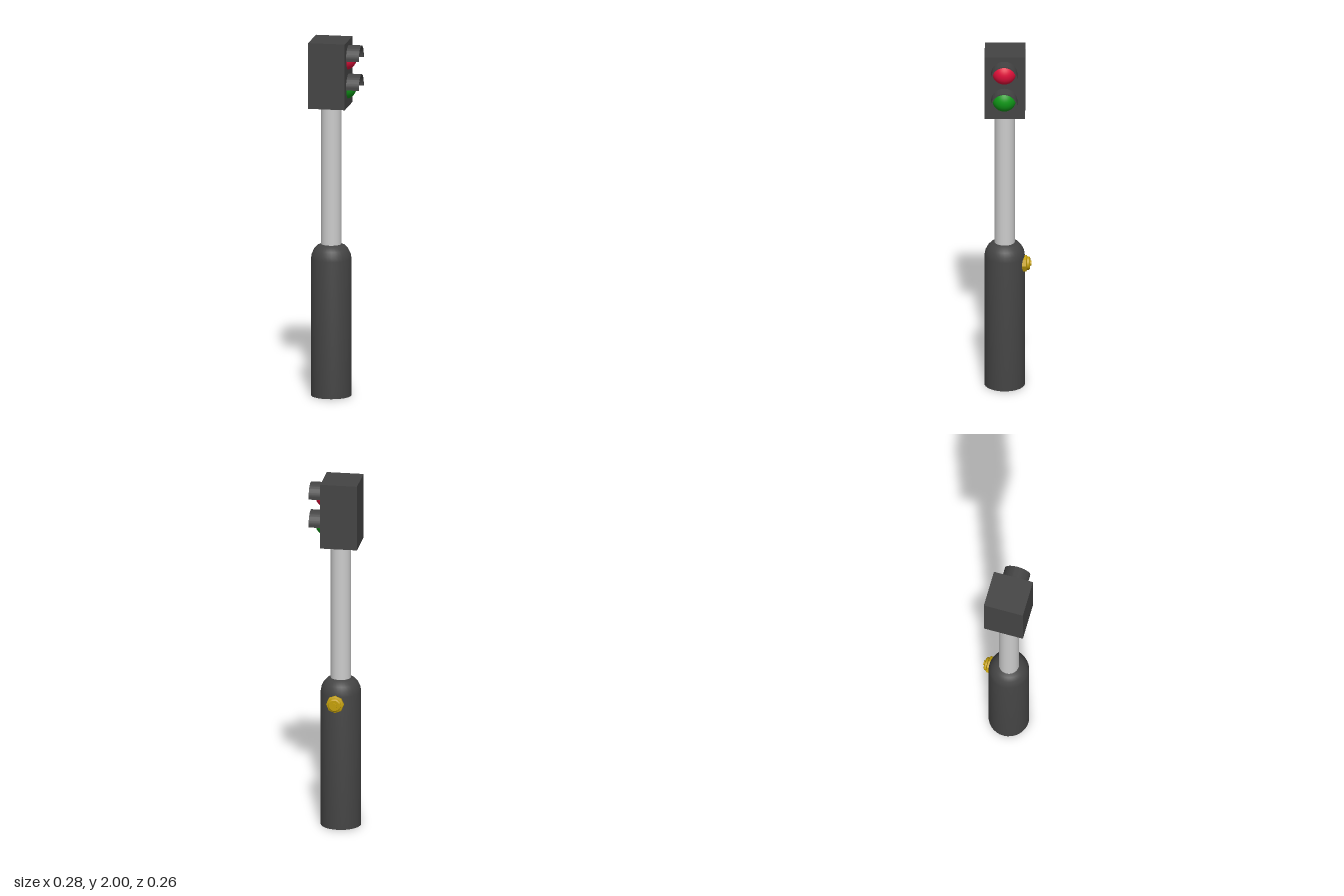
import * as THREE from 'three';
import { toCreasedNormals } from 'three/addons/utils/BufferGeometryUtils.js';

const material = (color) => new THREE.MeshStandardMaterial({ color });

// Revolve [radius, height] points around the y axis, keeping sharp edges
function turned(points, segments) {
  const profile = points.map(([r, y]) => new THREE.Vector2(r, y));
  return toCreasedNormals(new THREE.LatheGeometry(profile, segments), 0.6);
}

export function createModel() {
  const group = new THREE.Group();
  const dark = material(0x444444);
  const steel = material(0xcccccc);
  const yellow = material(0xc4a00a);
  const X = -0.029, Z = 0.018; // axis of the post

  function add(name, geometry, mat, x, y, z, parent = group) {
    const mesh = new THREE.Mesh(geometry, mat);
    mesh.name = name;
    mesh.position.set(x, y, z);
    parent.add(mesh);
    return mesh;
  }

  // Thick base with a rounded shoulder
  add('base', turned([
    [0, 0], [0.112, 0], [0.112, 0.77], [0.107, 0.798], [0.095, 0.823],
    [0.077, 0.843], [0.056, 0.852], [0, 0.852],
  ], 32), dark, X, 0, Z);

  // Slim pole and signal housing
  add('pole', new THREE.CylinderGeometry(0.056, 0.056, 0.82, 32), steel, X, 1.24, Z);
  add('signalHousing', new THREE.BoxGeometry(0.205, 0.37, 0.223), dark, -0.0345, 1.815, 0.0165);

  // Half-ring cross-section of a lamp visor
  const arch = new THREE.Shape();
  arch.absarc(0, 0, 0.0725, -0.08, Math.PI + 0.08, false);
  arch.absarc(0, 0, 0.066, Math.PI + 0.08, -0.08, true);
  arch.closePath();
  const visorGeometry = toCreasedNormals(new THREE.ExtrudeGeometry(arch, {
    depth: 0.074, bevelEnabled: false, curveSegments: 24,
  }), 0.6);
  visorGeometry.rotateY(Math.PI / 2);

  // Red and green lamps, each under its visor
  for (const [name, color, y] of [['red', 0xe0103a, 1.902], ['green', 0x109818, 1.74]]) {
    const lamp = new THREE.Group();
    lamp.name = name + 'Lamp';
    lamp.position.set(0.066, y, 0.02);
    add(name + 'Lens', new THREE.SphereGeometry(0.068, 32, 20), material(color), -0.02, 0, 0, lamp);
    add(name + 'Visor', visorGeometry, dark, 0, 0, 0, lamp);
    group.add(lamp);
  }

  // Stepped push button on the back of the base
  const button = new THREE.Group();
  button.name = 'pushButton';
  button.position.set(-0.016, 0.729, -0.08);
  button.rotation.set(-Math.PI / 2, 0, -0.04);
  add('buttonFlange', turned([
    [0, 0], [0.049, 0], [0.049, 0.022], [0.038, 0.027], [0, 0.027],
  ], 8), yellow, 0, 0, 0, button);
  add('buttonCollar', turned([
    [0, 0.02], [0.037, 0.02], [0.037, 0.037], [0.03, 0.042], [0, 0.042],
  ], 20), yellow, 0, 0, 0, button);
  add('buttonTip', new THREE.CylinderGeometry(0.014, 0.014, 0.015, 16), yellow, 0, 0.0425, 0, button);
  group.add(button);

  return group;
}
